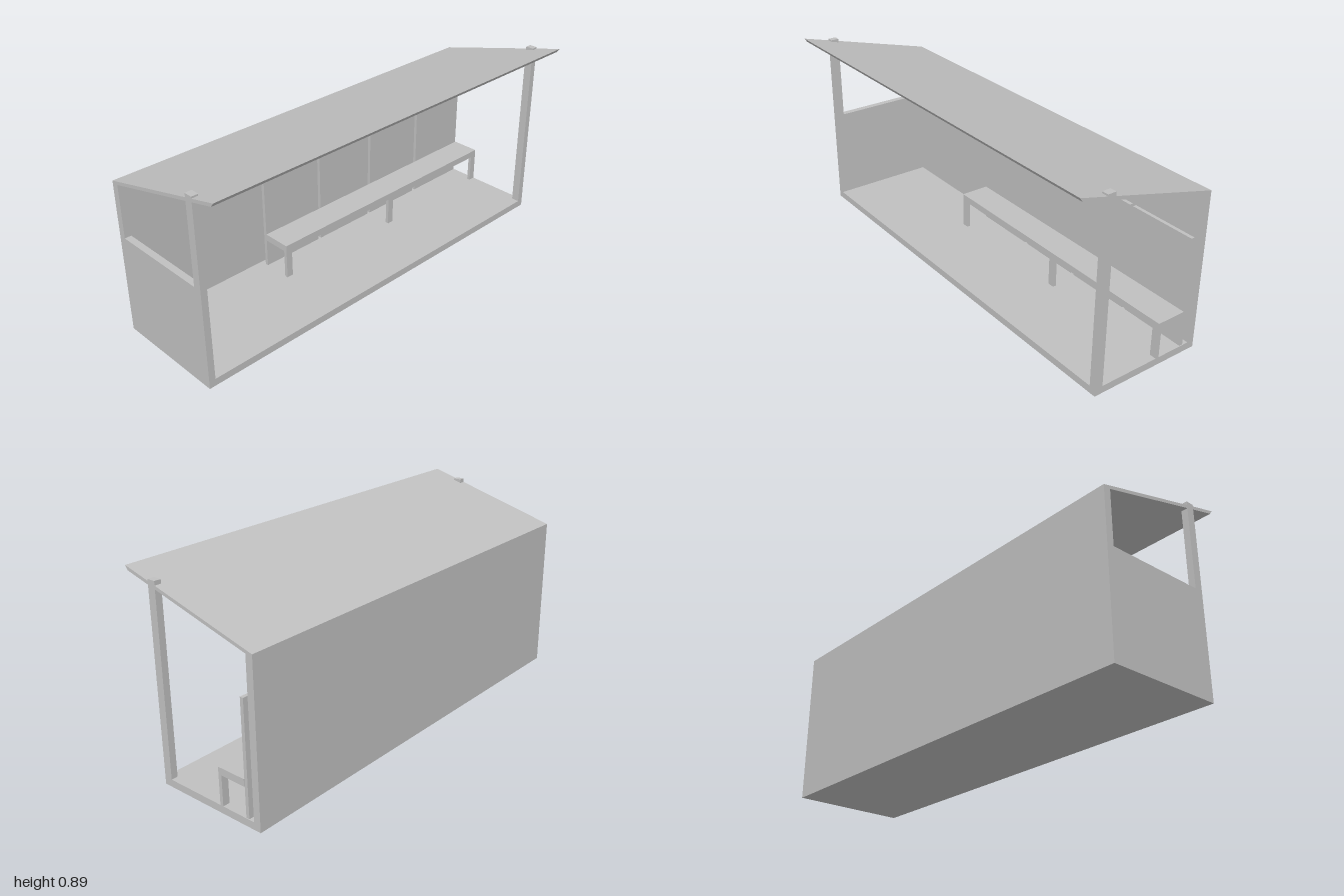
import * as THREE from 'three';

export function createModel() {
  const model = new THREE.Group();
  model.name = 'shelter';
  const grey = new THREE.MeshStandardMaterial({ color: 0xc0c0c0 });
  grey.name = 'plain grey';

  function add(name, geometry, parent = model) {
    const mesh = new THREE.Mesh(geometry, grey);
    mesh.name = name;
    parent.add(mesh);
  }

  // box given by its limits on each axis
  function box(name, [x0, x1], [y0, y1], [z0, z1], parent) {
    const g = new THREE.BoxGeometry(x1 - x0, y1 - y0, z1 - z0);
    g.translate((x0 + x1) / 2, (y0 + y1) / 2, (z0 + z1) / 2);
    add(name, g, parent);
  }

  // side profile of [z, y] points, extruded along the full width
  function profile(name, points) {
    const shape = new THREE.Shape(points.map(([z, y]) => new THREE.Vector2(z, y)));
    const g = new THREE.ExtrudeGeometry(shape, { depth: 2, bevelEnabled: false });
    g.rotateY(-Math.PI / 2).translate(1, 0, 0);
    add(name, g);
  }

  const floorTop = 0.033;

  // shell
  box('floor', [-1, 1], [0, floorTop], [-0.297, 0.203]);
  profile('backWall', [[-0.33, 0], [-0.297, 0], [-0.297, 0.712], [-0.33, 0.703]]);
  box('lowSideWall', [-1, -0.97], [floorTop, 0.467], [-0.297, 0.165]);
  profile('slopingRoof', [[-0.33, 0.703], [0.318, 0.875], [0.33, 0.893], [-0.33, 0.718]]);

  // front posts reach through the roof
  for (const x of [-1, 0.97]) {
    box('frontPost', [x, x + 0.03], [floorTop, 0.867], [0.165, 0.203]);
  }

  // bench with three front legs
  const bench = new THREE.Group();
  bench.name = 'bench';
  model.add(bench);
  box('seat', [-0.32, 1], [0.168, 0.2], [-0.254, -0.117], bench);
  for (const x of [-0.32, 0.337, 0.968]) {
    box('benchLeg', [x, x + 0.032], [floorTop, 0.168], [-0.133, -0.117], bench);
  }

  // four back panels with narrow gaps
  for (let i = 0; i < 4; i++) {
    const x = -0.32 + i * 0.3335;
    box('backPanel', [x, x + 0.3165], [floorTop, 0.533], [-0.27, -0.254], bench);
  }

  return model;
}
